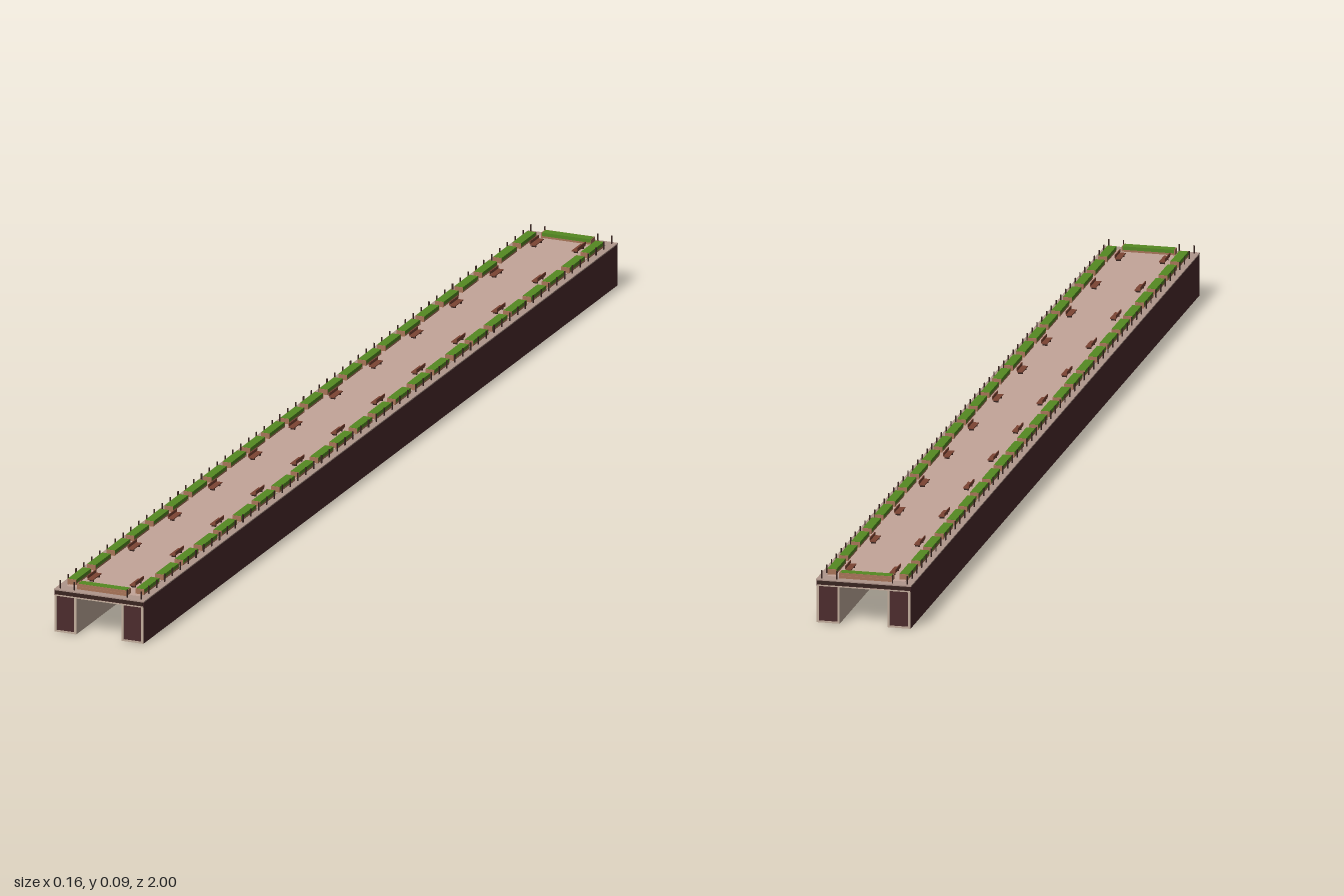
import * as THREE from 'three';

const mat = (name, color) => {
  const m = new THREE.MeshStandardMaterial({ color });
  m.name = name;
  return m;
};

export function createModel() {
  const root = new THREE.Group();
  root.name = 'promenade';
  const darkBrick = mat('dark brick', 0x4c2b2c);
  const stone = mat('wall stone', 0xc2ad9c);
  const paving = mat('paving stone', 0xc3a599);
  const border = mat('border stone', 0xb0978c);
  const grey = mat('underside grey', 0x8f8882);
  const wood = mat('planter wood', 0xa87458);
  const seatWood = mat('bench wood', 0x7c4433);
  const leaf = mat('hedge green', 0x558a22);
  const iron = mat('dark iron', 0x38241f);

  // Box given by its size and centre
  const box = (parent, name, m, w, h, d, x, y, z) => {
    const mesh = new THREE.Mesh(new THREE.BoxGeometry(w, h, d), m);
    mesh.name = name;
    mesh.position.set(x, y, z);
    parent.add(mesh);
  };

  // Deck slab: grey underside, dark edge, stone paving with a border
  box(root, 'deckUnderside', grey, 0.158, 0.002, 1.996, 0, 0.064, 0);
  box(root, 'deckEdge', darkBrick, 0.162, 0.008, 1.998, 0, 0.069, 0);
  box(root, 'deckBorder', border, 0.164, 0.002, 2, 0, 0.074, 0);
  box(root, 'paving', paving, 0.134, 0.001, 1.96, 0, 0.0753, 0);
  for (const e of [-1, 1]) {
    box(root, 'endFascia', iron, 0.16, 0.006, 0.001, 0, 0.0695, e * 0.9995);
    box(root, 'fasciaTrim', stone, 0.16, 0.002, 0.002, 0, 0.0645, e * 0.999);
  }

  // Hollow side walls, open at the bottom
  for (const s of [-1, 1]) {
    const wall = new THREE.Group();
    wall.name = s > 0 ? 'leftWall' : 'rightWall';
    root.add(wall);
    box(wall, 'outerPanel', darkBrick, 0.003, 0.065, 1.998, s * 0.0795, 0.0325, 0);
    box(wall, 'innerPanel', stone, 0.003, 0.063, 1.998, s * 0.0425, 0.0315, 0);
    for (const e of [-1, 1]) {
      box(wall, 'endPanel', darkBrick, 0.036, 0.063, 0.003, s * 0.061, 0.0315, e * 0.997);
      // Stone frame round the wall end
      for (const x of [0.043, 0.079])
        box(wall, 'endFrame', stone, 0.004, 0.064, 0.002, s * x, 0.032, e * 0.999);
      box(wall, 'endSill', stone, 0.036, 0.003, 0.002, s * 0.061, 0.0015, e * 0.999);
    }
  }

  // Planter running along z, filled with a hedge
  const planter = (length, x, z, turn = 0) => {
    const g = new THREE.Group();
    g.name = 'planter';
    g.position.set(x, 0.0755, z);
    g.rotation.y = turn;
    box(g, 'trough', wood, 0.0145, 0.004, length, 0, 0.002, 0);
    box(g, 'hedge', leaf, 0.0155, 0.006, length - 0.002, 0, 0.0068, 0);
    for (const e of [-1, 1])
      box(g, 'endBoard', wood, 0.0155, 0.0095, 0.0014, 0, 0.00475, e * length / 2);
    root.add(g);
    return g;
  };
  for (const s of [-1, 1]) {
    for (let i = 0; i < 24; i++) planter(0.064, s * 0.062, (i - 11.5) * 0.0815);
    // End planter with boards on its outer side
    const end = planter(0.09, 0, s * 0.978, Math.PI / 2);
    for (const y of [0.0022, 0.0072])
      box(end, 'outerBoard', wood, 0.0012, 0.0046, 0.09, -s * 0.0084, y, 0);
  }

  // Benches facing the middle walkway
  for (const s of [-1, 1]) {
    for (let i = 0; i < 12; i++) {
      const g = new THREE.Group();
      g.name = 'bench';
      g.position.set(s * 0.038, 0.0755, -0.935 + i * 0.1695);
      box(g, 'seat', seatWood, 0.010, 0.0015, 0.036, 0, 0.005, 0);
      box(g, 'backrest', seatWood, 0.0015, 0.005, 0.036, s * 0.005, 0.009, 0);
      for (const z of [-0.012, 0.012])
        box(g, 'leg', iron, 0.008, 0.0045, 0.002, 0, 0.00225, z);
      root.add(g);
    }
  }

  // Railing posts around the deck
  const post = (x, z) => box(root, 'railingPost', iron, 0.002, 0.014, 0.002, x, 0.082, z);
  for (const s of [-1, 1]) {
    for (let i = 0; i <= 60; i++) post(s * 0.0735, -0.992 + i * 1.984 / 60);
    for (const x of [-0.048, 0.048]) post(x, s * 0.992);
  }
  return root;
}
